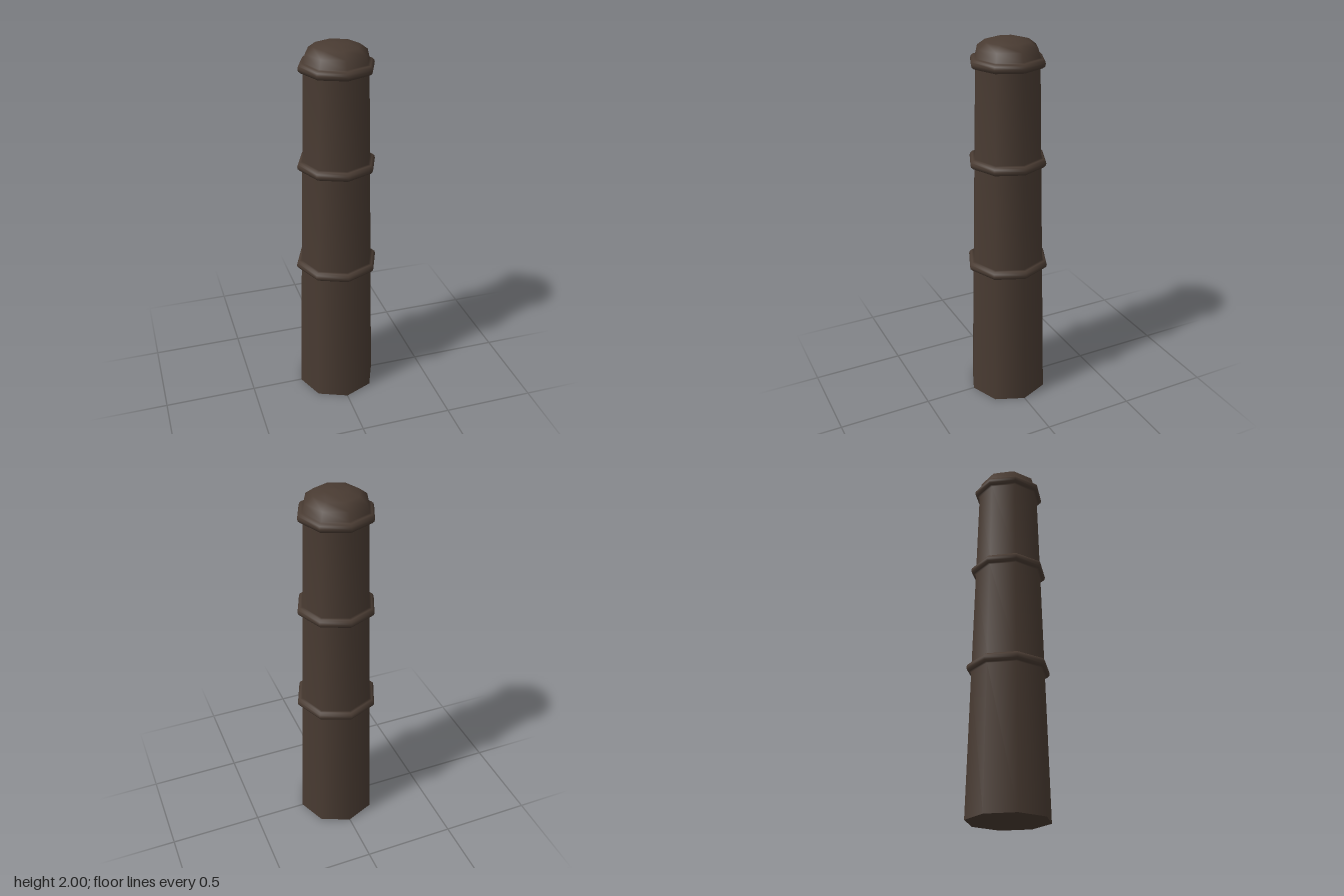
import * as THREE from 'three';

const SIDES = 8;

export function createModel() {
  const group = new THREE.Group();
  const brown = new THREE.MeshStandardMaterial({ color: 0x493b32 });
  brown.name = 'dark brown';

  // Tapered shaft with three rounded rings and a domed top, as one smooth profile
  const shaftRadius = (y) => 0.217 - 0.0255 * y;
  const profile = [new THREE.Vector2(shaftRadius(0), 0)];
  for (const ringY of [0.79, 1.37, 1.882]) {
    for (let i = 0; i <= 6; i++) {
      const a = -Math.PI / 2 + (Math.PI * i) / 6;
      const y = ringY + 0.026 * Math.sin(a);
      profile.push(new THREE.Vector2(shaftRadius(y) + 0.027 * Math.cos(a), y));
    }
  }
  for (const [r, y] of [[0.158, 1.951], [0.118, 1.981], [0.062, 1.996], [0, 2]]) {
    profile.push(new THREE.Vector2(r, y));
  }
  const post = new THREE.Mesh(new THREE.LatheGeometry(profile, SIDES), brown);
  post.name = 'ringedPost';
  group.add(post);

  // Flat underside, corners lined up with the shaft
  const base = new THREE.Mesh(new THREE.CircleGeometry(shaftRadius(0), SIDES), brown);
  base.rotation.x = Math.PI / 2;
  base.name = 'underside';
  group.add(base);

  return group;
}
